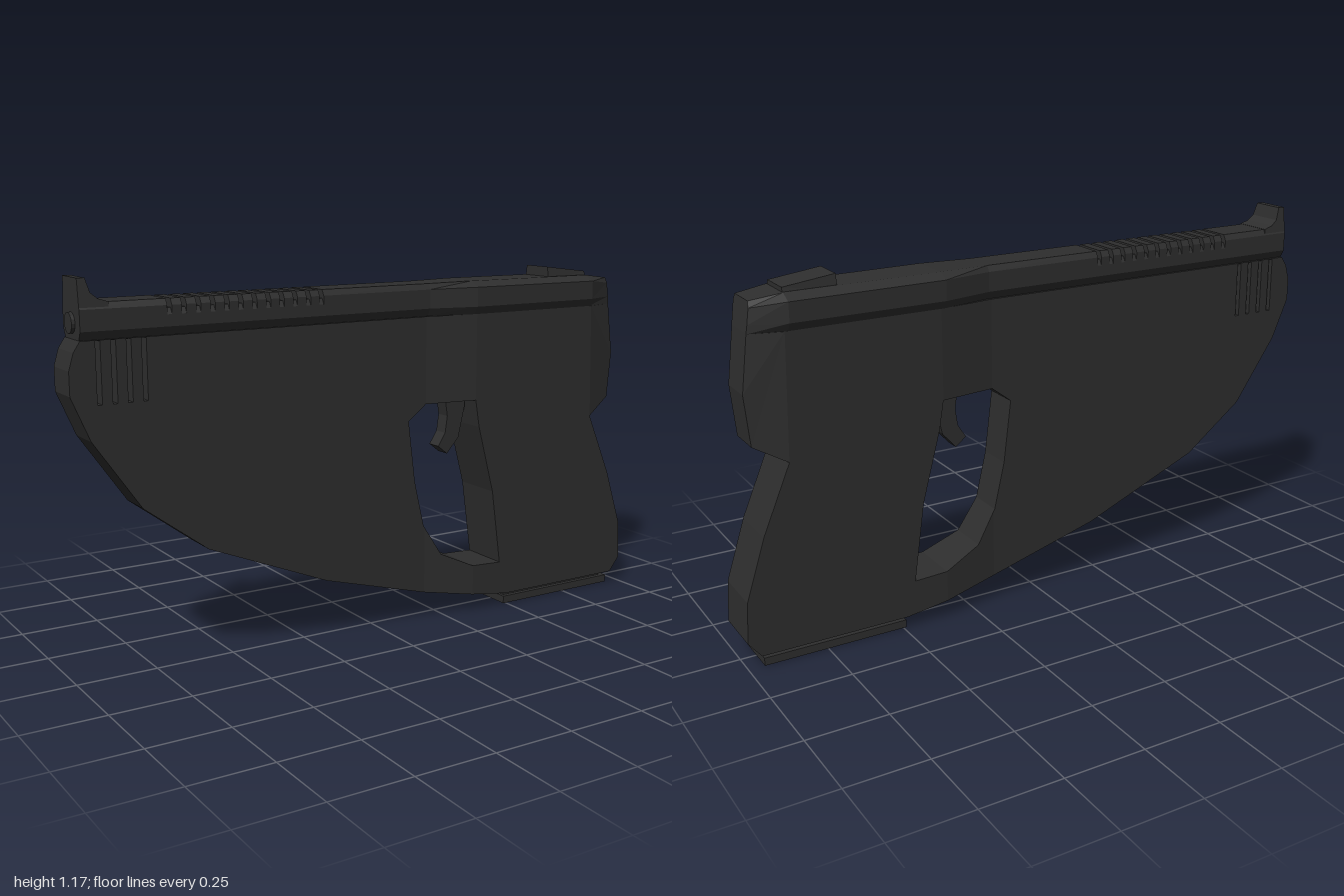
import * as THREE from 'three';

const dark = new THREE.MeshStandardMaterial({ color: 0x2e2e2e, flatShading: true });

function add(parent, name, geometry) {
  const mesh = new THREE.Mesh(geometry, dark);
  mesh.name = name;
  parent.add(mesh);
  return mesh;
}

// Side profile extruded symmetrically in z; half(x, y) gives the half thickness
function slab(points, half, holes = []) {
  const shape = new THREE.Shape(points.map(p => new THREE.Vector2(...p)));
  for (const h of holes) shape.holes.push(new THREE.Path(h.map(p => new THREE.Vector2(...p))));
  const g = new THREE.ExtrudeGeometry(shape, { depth: 1, bevelEnabled: false });
  const pos = g.attributes.position;
  for (let i = 0; i < pos.count; i++) {
    const w = half(pos.getX(i), pos.getY(i));
    pos.setZ(i, pos.getZ(i) > 0.5 ? w : -w);
  }
  g.computeVertexNormals();
  return g;
}

// Joins rings of [x, y, z] points running along +x and caps both ends
function loft(rings) {
  const n = rings[0].length, index = [];
  for (let i = 0; i < rings.length - 1; i++) {
    for (let j = 0; j < n; j++) {
      const a = i * n + j, d = i * n + (j + 1) % n;
      index.push(a, a + n, d + n, a, d + n, d);
    }
  }
  const last = (rings.length - 1) * n;
  for (let j = 1; j < n - 1; j++) index.push(0, j, j + 1, last, last + j + 1, last + j);
  const g = new THREE.BufferGeometry();
  g.setAttribute('position', new THREE.Float32BufferAttribute(rings.flat(2), 3));
  g.setIndex(index);
  const flat = g.toNonIndexed();
  flat.computeVertexNormals();
  return flat;
}

// Slide cross-section: undercut foot, upright side, chamfered top
function slideRing(x, w, foot, top, topHalf, footX = x) {
  const side = [[1.0, foot], [1.025, w], [top - 0.018, w], [top, topHalf]];
  const at = y => footX + (x - footX) * (y - 1) / (top - 1);
  return [
    ...side.map(([y, z]) => [at(y), y, z]),
    ...side.slice().reverse().map(([y, z]) => [at(y), y, -z]),
  ];
}

export function createModel() {
  const model = new THREE.Group();
  const body = new THREE.Group();
  body.name = 'body';
  model.add(body);

  // Frame: thin front, widening above and below the trigger opening
  const FRONT = 0.06, REAR = 0.085;
  const bodyHalf = x => THREE.MathUtils.clamp(
    THREE.MathUtils.mapLinear(x, 0.17, 0.35, FRONT, REAR), FRONT, REAR);

  const vents = [-0.915, -0.87, -0.825, -0.78].map(x =>
    [[x - 0.007, 0.82], [x - 0.007, 0.998], [x + 0.007, 0.998], [x + 0.007, 0.82]]);
  add(body, 'frontFrame', slab([
    [-0.965, 1.0], [-0.985, 0.97], [-1, 0.92], [-1, 0.85], [-0.945, 0.72], [-0.8, 0.51],
    [-0.6, 0.36], [-0.2, 0.195], [0.17, 0.092], [0.17, 0.312], [0.165, 0.32],
    [0.13, 0.47], [0.105, 0.67], [0.17, 0.72], [0.17, 1.0],
  ], bodyHalf, vents));
  add(body, 'upperFrame', slab([[0.17, 0.72], [0.35, 0.72], [0.35, 1.0], [0.17, 1.0]], bodyHalf));
  add(body, 'triggerGuard', slab([
    [0.17, 0.092], [0.35, 0.06], [0.35, 0.16], [0.23, 0.215], [0.17, 0.312],
  ], bodyHalf));
  add(body, 'grip', slab([
    [0.35, 1.0], [0.35, 0.72], [0.365, 0.63], [0.425, 0.405], [0.46, 0.155], [0.35, 0.16],
    [0.35, 0.06], [0.49, 0.04], [0.96, 0.04], [1, 0.09], [0.992, 0.22], [0.93, 0.41],
    [0.84, 0.62], [0.83, 1.0],
  ], bodyHalf));
  add(body, 'backFrame', slab([
    [0.83, 1.0], [0.84, 0.62], [0.938, 0.675], [0.952, 0.83], [0.93, 1.0],
  ], x => (x > 0.9 ? 0.058 : REAR)));

  // Slide with a row of slots cut across its top
  const rings = [];
  const thin = (x, top) => rings.push(slideRing(x, 0.066, 0.052, top, 0.056));
  thin(-0.965, 1.103);
  for (let i = 0; i < 12; i++) {
    const x = -0.703 + i * 0.0445;
    thin(x - 0.007, 1.103);
    thin(x - 0.007, 1.077);
    thin(x + 0.007, 1.077);
    thin(x + 0.007, 1.103);
  }
  thin(0.18, 1.103);
  rings.push(slideRing(0.34, 0.1, 0.085, 1.105, 0.066));
  rings.push(slideRing(0.82, 0.1, 0.085, 1.103, 0.064));
  rings.push(slideRing(0.917, 0.06, 0.058, 1.09, 0.052, 0.93));
  add(model, 'slide', loft(rings));

  // Sights
  add(model, 'frontSight', slab([
    [-0.965, 1.09], [-0.88, 1.09], [-0.88, 1.104], [-0.91, 1.113], [-0.93, 1.13],
    [-0.942, 1.17], [-0.965, 1.17],
  ], (x, y) => THREE.MathUtils.mapLinear(y, 1.09, 1.17, 0.064, 0.055)));
  add(model, 'rearSight', slab([
    [0.66, 1.09], [0.82, 1.09], [0.82, 1.116], [0.66, 1.136],
  ], (x, y) => (y > 1.1 ? 0.054 : 0.06)));

  // Muzzle
  const muzzle = add(model, 'muzzle', new THREE.CylinderGeometry(0.03, 0.03, 0.03, 16));
  muzzle.rotation.z = Math.PI / 2;
  muzzle.position.set(-0.96, 1.045, 0);

  // Trigger
  add(model, 'trigger', slab([
    [0.27, 0.73], [0.28, 0.665], [0.272, 0.61], [0.245, 0.568], [0.28, 0.54],
    [0.325, 0.59], [0.348, 0.69], [0.35, 0.73],
  ], () => 0.025));

  // Magazine base: narrow neck over a wider plate
  const neck = add(model, 'magazineNeck', new THREE.BoxGeometry(0.43, 0.03, 0.116));
  neck.position.set(0.715, 0.035, 0);
  const plate = add(model, 'magazinePlate', new THREE.BoxGeometry(0.46, 0.025, 0.146));
  plate.position.set(0.72, 0.0125, 0);

  return model;
}
